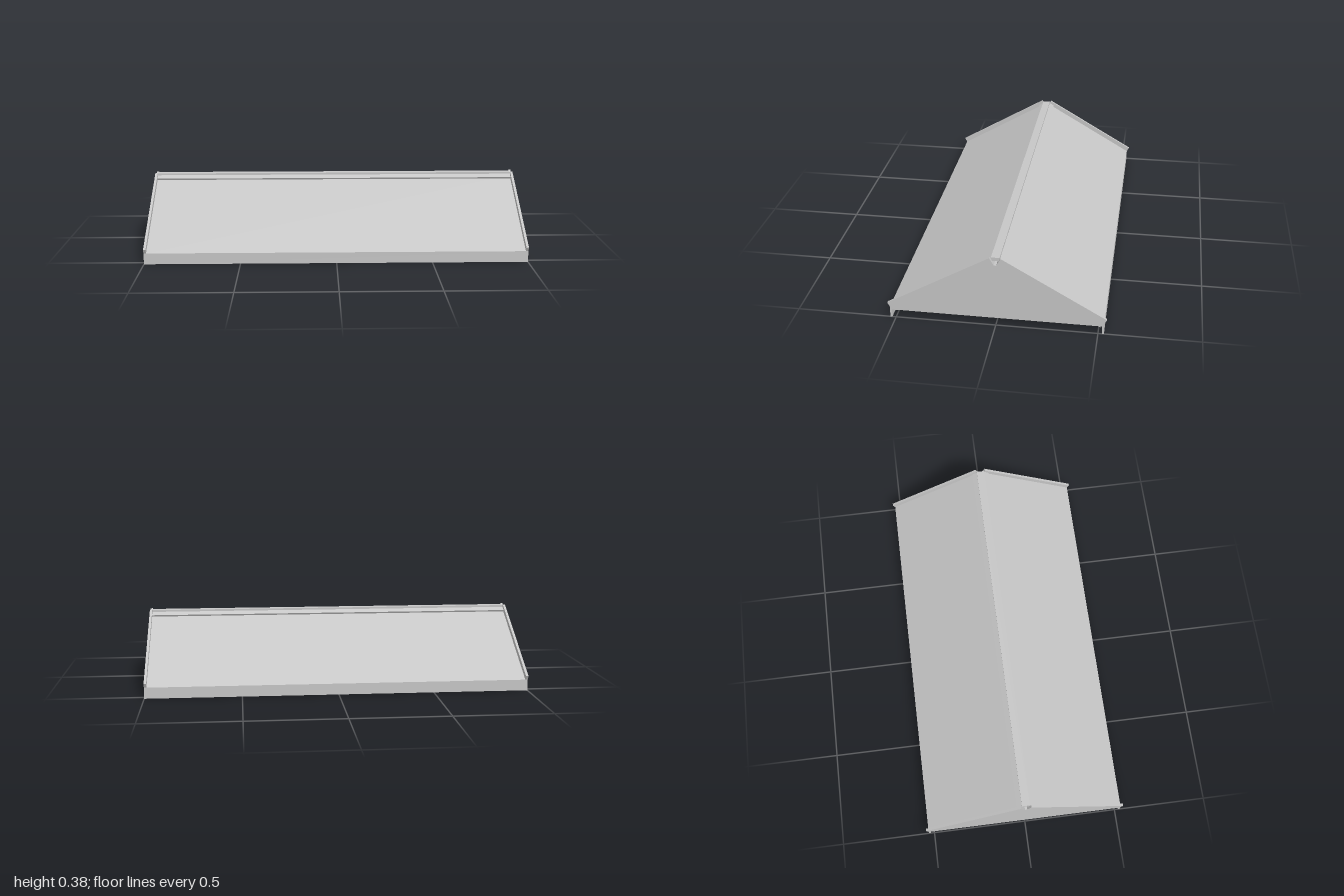
import * as THREE from 'three';

const roofGrey = new THREE.MeshStandardMaterial({ color: 0xc6c6c6 });
roofGrey.name = 'roofGrey';

// Prism along x from a [z, y] profile, running from x0 to x1
function prism(name, profile, x0, x1) {
  const shape = new THREE.Shape(profile.map(([z, y]) => new THREE.Vector2(-z, y)));
  const geometry = new THREE.ExtrudeGeometry(shape, { depth: x1 - x0, bevelEnabled: false });
  geometry.rotateY(Math.PI / 2).translate(x0, 0, 0);
  const mesh = new THREE.Mesh(geometry, roofGrey);
  mesh.name = name;
  return mesh;
}

const flip = (profile) => profile.map(([z, y]) => [-z, y]);
// Completes a half profile (eave to ridge or ridge to eave) into a symmetric one
const mirrored = (half) => [...half, ...flip(half).reverse()];

export function createModel() {
  const model = new THREE.Group();
  model.name = 'gableRoof';
  const rim = 0.013, wall = 0.05;
  const inner = 1 - rim;

  // Sloping panel, cut square to the slope at the ridge
  const panel = [
    [0.529, 0.058], [0.0155, 0.357], [0.006, 0.339], [0, 0.339],
    [0, 0.325], [0.51, 0.027], [0.512, 0.039], [0.519, 0.042],
  ];
  // Upright board along the eave
  const fascia = [[0.529, 0], [0.529, 0.058], [0.519, 0.0638], [0.519, 0]];

  for (const [side, place] of [['front', (p) => p], ['back', flip]]) {
    model.add(prism(side + 'RoofPanel', place(panel), -inner, inner));
    model.add(prism(side + 'Fascia', place(fascia), -1, 1));
  }

  // Ridge cap with wings lying on the panels and a hollow channel below
  model.add(prism('ridgeCap', mirrored([
    [0.041, 0.342], [0.046, 0.3505], [0.021, 0.365], [0.021, 0.375],
  ]).concat([[-0.0155, 0.357], [0.0155, 0.357]]), -inner, inner));

  // Gable ends: thin notched plate outside, thicker wall under the panels inside
  const plate = mirrored([
    [0.519, 0.042], [0.519, 0.058], [0.529, 0.058], [0.541, 0.08],
    [0.027, 0.378], [0.006, 0.339],
  ]);
  const gable = mirrored([[0.485, 0.042], [0.001, 0.326]]);
  for (const [side, s] of [['left', 1], ['right', -1]]) {
    const span = (a, b) => (s > 0 ? [a, b] : [-b, -a]);
    model.add(prism(side + 'EndPlate', plate, ...span(inner, 1)));
    model.add(prism(side + 'GableWall', gable, ...span(1 - wall, inner)));
  }
  return model;
}
